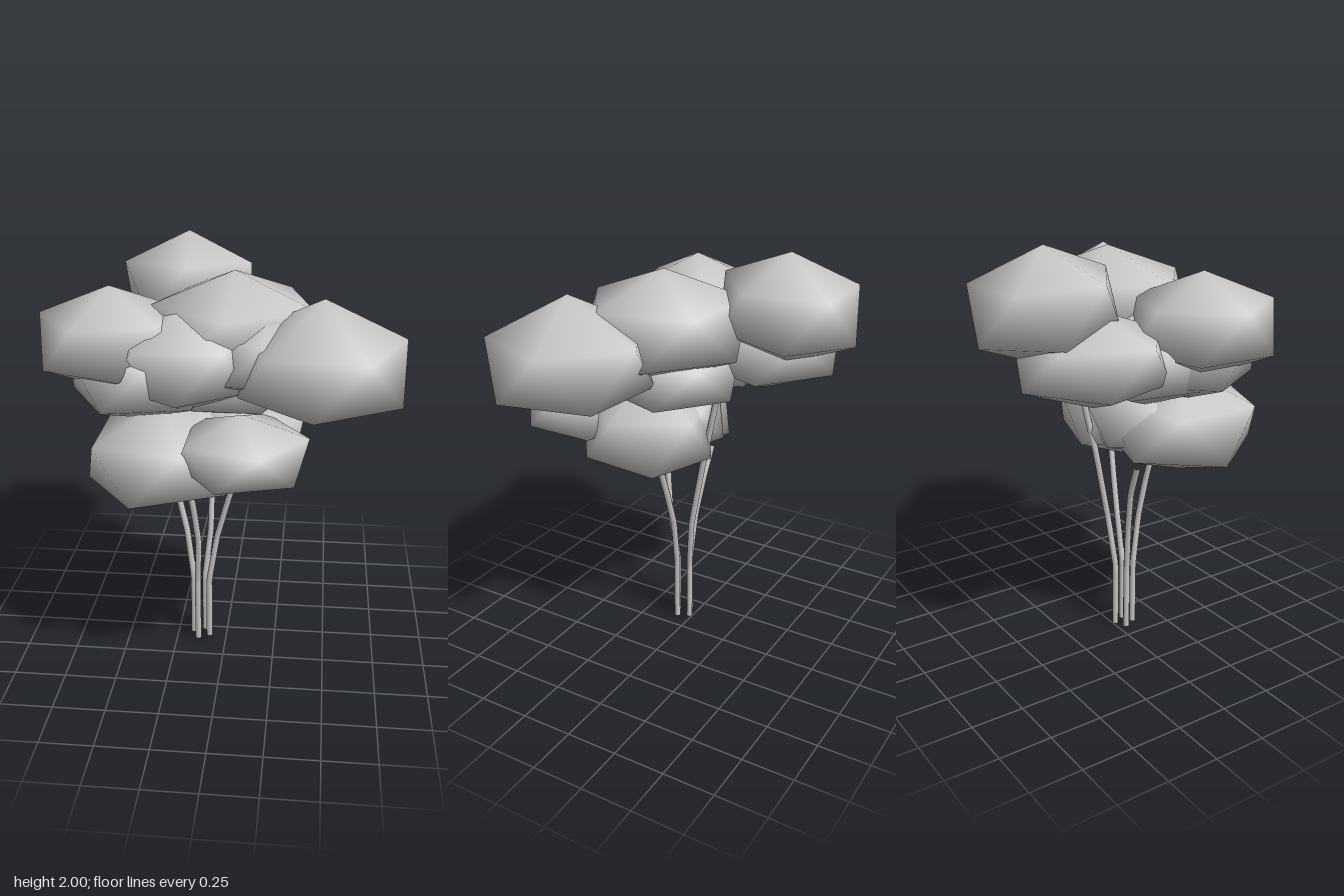
import * as THREE from 'three';
import { mergeVertices } from 'three/addons/utils/BufferGeometryUtils.js';

const material = new THREE.MeshStandardMaterial({ color: 0xcccccc });

// Smooth-shaded icosahedron with one corner straight up and an upper-ring corner towards +x
function clumpGeometry() {
  let geometry = new THREE.IcosahedronGeometry(1, 0);
  geometry.deleteAttribute('normal');
  geometry.deleteAttribute('uv');
  geometry = mergeVertices(geometry, 1e-3);
  geometry.rotateZ(-Math.atan(2 / (1 + Math.sqrt(5))));
  return geometry;
}

// Flattened leaf clump; yaw is in degrees from +x towards +z,
// lean is the slope along x and z, lift raises the top and bottom corners
function leafClump(name, [x, y, z], radius, halfHeight, yaw, [leanX, leanZ, lift] = [0, 0, 0]) {
  const geometry = clumpGeometry();
  geometry.rotateY(-THREE.MathUtils.degToRad(yaw));
  geometry.scale(radius, halfHeight, radius);
  const p = geometry.attributes.position;
  for (let i = 0; i < p.count; i++) {
    const isPole = Math.abs(p.getY(i)) > 0.9 * halfHeight;
    p.setY(i, p.getY(i) + leanX * p.getX(i) + leanZ * p.getZ(i) + (isPole ? lift : 0));
  }
  geometry.computeVertexNormals();
  const mesh = new THREE.Mesh(geometry, material);
  mesh.name = name;
  mesh.position.set(x, y, z);
  return mesh;
}

// Thin stem: straight at the foot, then bending out through its path points
function stem(name, points, radius) {
  const path = new THREE.CurvePath();
  const p = points.map((q) => new THREE.Vector3(...q));
  for (let i = 1; i < p.length; i++) path.add(new THREE.LineCurve3(p[i - 1], p[i]));
  const group = new THREE.Group();
  group.name = name;
  const tube = new THREE.Mesh(new THREE.TubeGeometry(path, 24, radius, 6), material);
  tube.name = 'stemTube';
  const foot = new THREE.Mesh(new THREE.CircleGeometry(radius, 6), material);
  foot.name = 'stemFoot';
  foot.rotation.x = Math.PI / 2;
  foot.position.copy(p[0]);
  group.add(tube, foot);
  return group;
}

export function createModel() {
  const tree = new THREE.Group();
  tree.name = 'tree';

  // Crown: name, centre, radius, half height, yaw, lean and lift
  const crown = new THREE.Group();
  crown.name = 'crown';
  const clumps = [
    ['leftClump', [0.445, 1.55, 0.31], 0.42, 0.265, -13, [0, 0, 0.045]],
    ['innerLeftClump', [0.20, 1.59, 0.22], 0.32, 0.21, 20],
    ['topBackClump', [-0.23, 1.74, -0.44], 0.365, 0.26, -57, [0, 0.07, 0]],
    ['rightClump', [-0.51, 1.63, 0.20], 0.365, 0.24, 183],
    ['topCentreClump', [0.04, 1.66, 0.065], 0.435, 0.26, -51],
    ['backRightClump', [-0.36, 1.51, -0.28], 0.385, 0.22, 236],
    ['middleRightClump', [-0.30, 1.46, 0.05], 0.40, 0.23, 190],
    ['underRightClump', [-0.37, 1.48, 0.20], 0.375, 0.23, 150],
    ['middleFrontClump', [-0.17, 1.55, 0.24], 0.37, 0.24, 54],
    ['middleClump', [0, 1.42, 0.05], 0.36, 0.20, 20],
    ['lowerRightClump', [-0.26, 1.11, 0.28], 0.41, 0.26, 144, [0.05, 0, 0]],
    ['lowerLeftClump', [0.05, 1.13, 0.16], 0.355, 0.27, 0, [0, 0.06, 0]],
    ['lowerMiddleClump', [-0.12, 1.13, 0.22], 0.39, 0.23, 0],
    ['lowerFrontClump', [0.11, 1.21, 0.475], 0.325, 0.175, 73],
  ];
  for (const c of clumps) crown.add(leafClump(...c));
  tree.add(crown);

  // Four stems rising from a tight square
  const stems = new THREE.Group();
  stems.name = 'stems';
  const paths = [
    [[-0.169, 0, 0.045], [-0.169, 0.33, 0.045], [-0.20, 0.58, 0.03], [-0.245, 0.77, 0.01], [-0.31, 0.93, 0]],
    [[-0.141, 0, 0.103], [-0.141, 0.33, 0.103], [-0.13, 0.58, 0.14], [-0.15, 0.77, 0.165], [-0.18, 0.95, 0.19]],
    [[-0.113, 0, 0.016], [-0.113, 0.33, 0.016], [-0.085, 0.58, -0.01], [-0.08, 0.95, -0.08], [-0.06, 1.35, -0.17]],
    [[-0.086, 0, 0.075], [-0.086, 0.33, 0.075], [-0.045, 0.58, 0.07], [0, 0.75, 0.08], [0.05, 0.93, 0.095]],
  ];
  paths.forEach((path, i) => stems.add(stem(`stem${i + 1}`, path, 0.017)));
  tree.add(stems);
  return tree;
}
